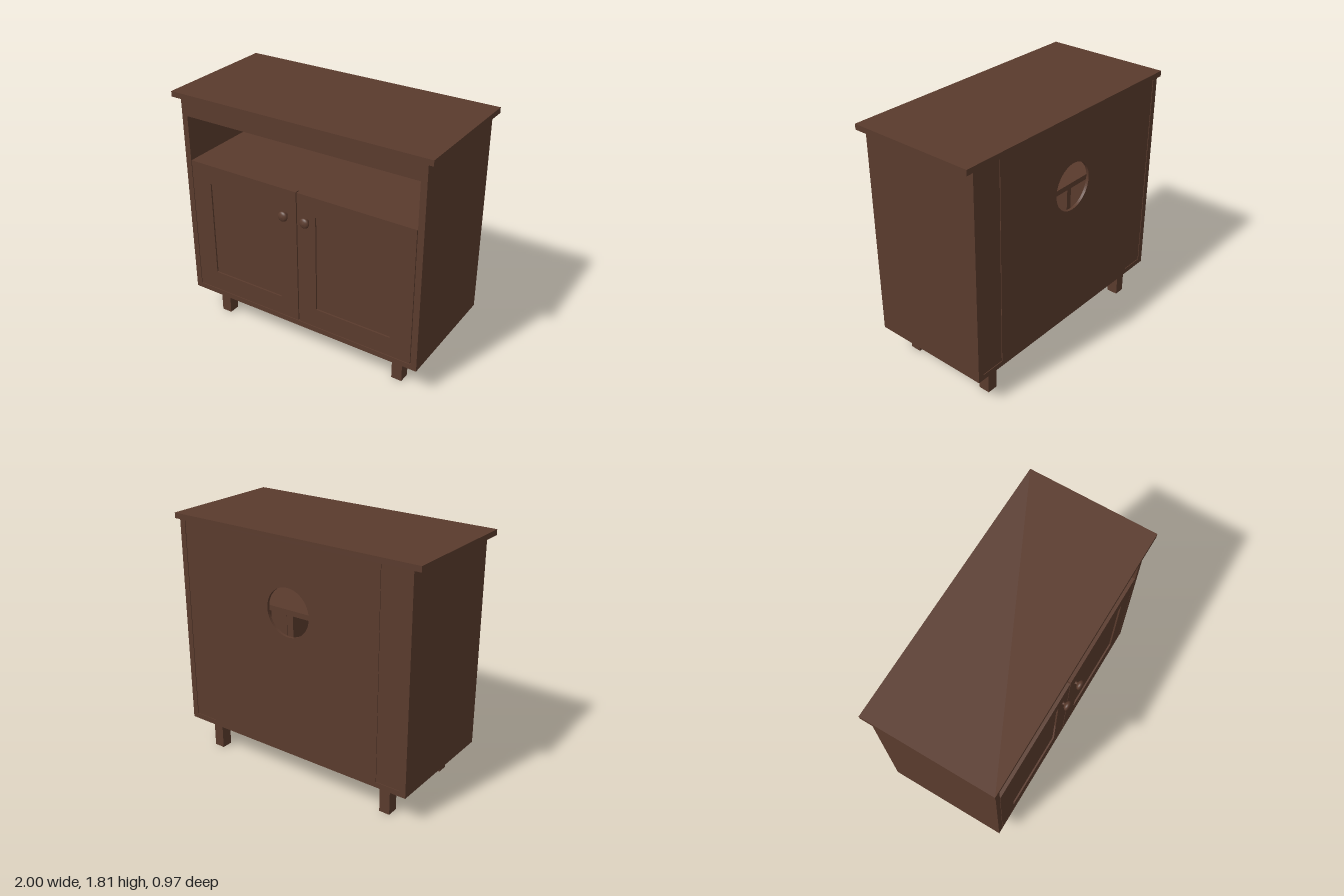
import * as THREE from 'three';

export function createModel() {
  const model = new THREE.Group();
  const wood = new THREE.MeshStandardMaterial({ color: 0x5a3b2d });
  wood.name = 'dark brown wood';

  const add = (name, geometry, parent = model) => {
    const mesh = new THREE.Mesh(geometry, wood);
    mesh.name = name;
    parent.add(mesh);
    return mesh;
  };
  // box given by its limits on each axis
  const box = (name, x0, x1, y0, y1, z0, z1, parent) => {
    const g = new THREE.BoxGeometry(x1 - x0, y1 - y0, z1 - z0);
    g.translate((x0 + x1) / 2, (y0 + y1) / 2, (z0 + z1) / 2);
    return add(name, g, parent);
  };
  const rect = (path, x0, x1, y0, y1) => path
    .moveTo(x0, y0).lineTo(x1, y0).lineTo(x1, y1).lineTo(x0, y1).closePath();
  const extrude = (shape, z0, z1) => new THREE.ExtrudeGeometry(shape,
    { depth: z1 - z0, bevelEnabled: false, curveSegments: 32 }).translate(0, 0, z0);

  // carcass
  box('top', -1, 1, 1.77, 1.81, -0.485, 0.465);
  box('base', -0.95, 0.95, 0.22, 0.26, -0.485, 0.43);
  box('apron', -0.905, 0.905, 1.635, 1.77, 0.4, 0.43);
  box('shelf', -0.905, 0.905, 1.26, 1.298, -0.455, 0.395);
  box('divider', -0.02, 0.02, 0.26, 1.26, -0.455, 0.395);

  // back panel with a round cable hole
  const back = new THREE.Shape();
  rect(back, -0.72, 0.72, 0.26, 1.77);
  const hole = new THREE.Path();
  hole.absarc(0, 1.29, 0.175, 0, Math.PI * 2, true);
  back.holes.push(hole);
  add('backPanel', extrude(back, -0.485, -0.465));

  // knob profile: flared foot, thin neck, flattened round head
  const knobProfile = [[0, 0], [0.014, 0], [0.009, 0.008], [0.011, 0.016], [0.024, 0.021],
    [0.034, 0.029], [0.037, 0.038], [0.033, 0.047], [0.021, 0.054], [0, 0.057]]
    .map(([r, h]) => new THREE.Vector2(r, h));

  for (const s of [-1, 1]) {
    const side = s < 0 ? 'right' : 'left';
    // limits mirrored in x
    const mbox = (name, a, b, ...rest) =>
      box(name, Math.min(s * a, s * b), Math.max(s * a, s * b), ...rest);

    mbox(side + 'SidePanel', 0.905, 0.95, 0.26, 1.77, -0.485, 0.43);
    mbox(side + 'BackStrip', 0.72, 0.905, 0.26, 1.77, -0.48, -0.468);

    // door: frame, recessed panel and knob
    const door = new THREE.Group();
    door.name = side + 'Door';
    model.add(door);
    const frame = new THREE.Shape();
    rect(frame, s * 0.004, s * 0.9, 0.266, 1.3);
    const opening = new THREE.Path();
    rect(opening, s * 0.15, s * 0.74, 0.415, 1.155);
    frame.holes.push(opening);
    add('doorFrame', extrude(frame, 0.398, 0.43), door);
    mbox('doorPanel', 0.15, 0.74, 0.415, 1.155, 0.402, 0.418, door);
    const knob = add('knob', new THREE.LatheGeometry(knobProfile, 28), door);
    knob.rotation.x = Math.PI / 2;
    knob.position.set(s * 0.087, 1.11, 0.43);

    // legs with mounting blocks
    for (const [end, z] of [['Front', 0.292], ['Back', -0.383]]) {
      const leg = new THREE.Group();
      leg.name = side + end + 'Leg';
      model.add(leg);
      mbox('legPost', 0.715, 0.795, 0, 0.176, z - 0.042, z + 0.042, leg);
      mbox('legBlock', 0.657, 0.843, 0.176, 0.22, z - 0.042, z + 0.042, leg);
    }
  }
  return model;
}
